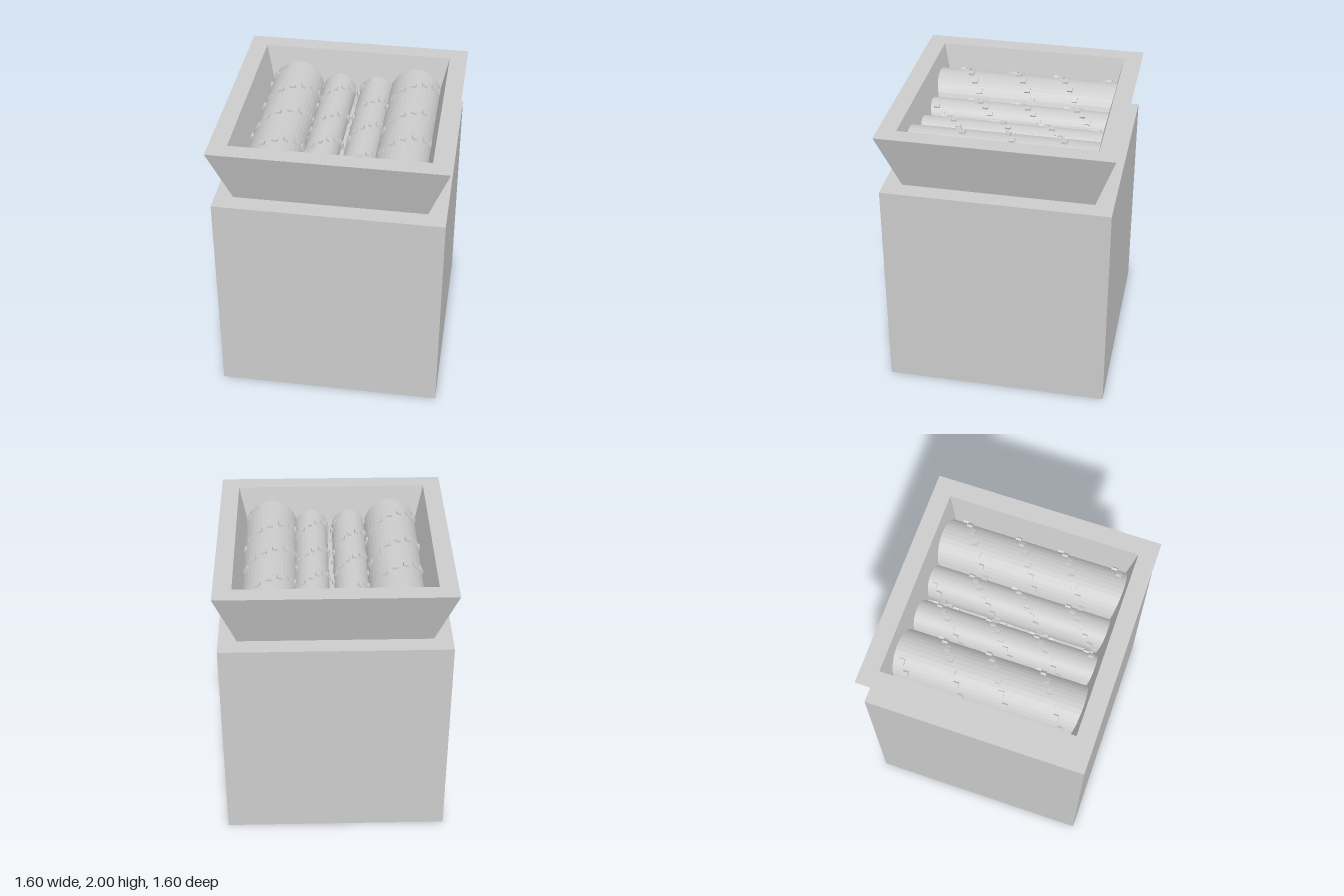
import * as THREE from 'three';

const grey = new THREE.MeshStandardMaterial({ color: 0xcccccc, flatShading: true });

function addMesh(parent, name, geometry, x = 0, y = 0, z = 0) {
  const mesh = new THREE.Mesh(geometry, grey);
  mesh.name = name;
  mesh.position.set(x, y, z);
  parent.add(mesh);
  return mesh;
}

// Roller along z with two opposite spirals of square teeth
function makeRoller(name, x, y, radius, toothWidth, spiralStarts) {
  const roller = new THREE.Group();
  roller.name = name;
  roller.position.set(x, y, 0);

  const drum = new THREE.CylinderGeometry(radius, radius, 1.32, 36);
  drum.rotateX(Math.PI / 2);
  addMesh(roller, 'drum', drum);

  const toothHeight = 0.03, protrusion = 0.014;
  const tooth = new THREE.BoxGeometry(toothWidth, toothHeight, 0.038);
  tooth.translate(0, radius + protrusion - toothHeight / 2, 0);
  for (const start of spiralStarts) {
    for (let k = 0; k < 28; k++) {
      const mesh = addMesh(roller, 'tooth', tooth, 0, 0, 0.5875 - 0.0435 * k);
      mesh.rotation.z = -(k - start) * Math.PI / 8;
    }
  }
  return roller;
}

export function createModel() {
  const model = new THREE.Group();
  model.name = 'shredder';

  // Solid cube base
  addMesh(model, 'body', new THREE.BoxGeometry(1.574, 1.575, 1.574), 0, 0.7875, 0);

  // Flared square hopper with sloping inner walls
  const profile = [[0.58, 1.575], [0.66, 1.575], [0.8, 2], [0.675, 2], [0.58, 1.575]]
    .map(([half, y]) => new THREE.Vector2(half * Math.SQRT2, y));
  addMesh(model, 'hopper', new THREE.LatheGeometry(profile, 4, Math.PI / 4));

  // Large rollers outside, small ones between them
  const even = [-3.7, 3.8], odd = [-1.5, 7];
  model.add(
    makeRoller('rightOuterRoller', -0.43, 1.71, 0.19, 0.039, even),
    makeRoller('rightInnerRoller', -0.123, 1.705, 0.121, 0.025, odd),
    makeRoller('leftInnerRoller', 0.153, 1.705, 0.121, 0.025, even),
    makeRoller('leftOuterRoller', 0.443, 1.71, 0.19, 0.039, odd)
  );
  return model;
}
